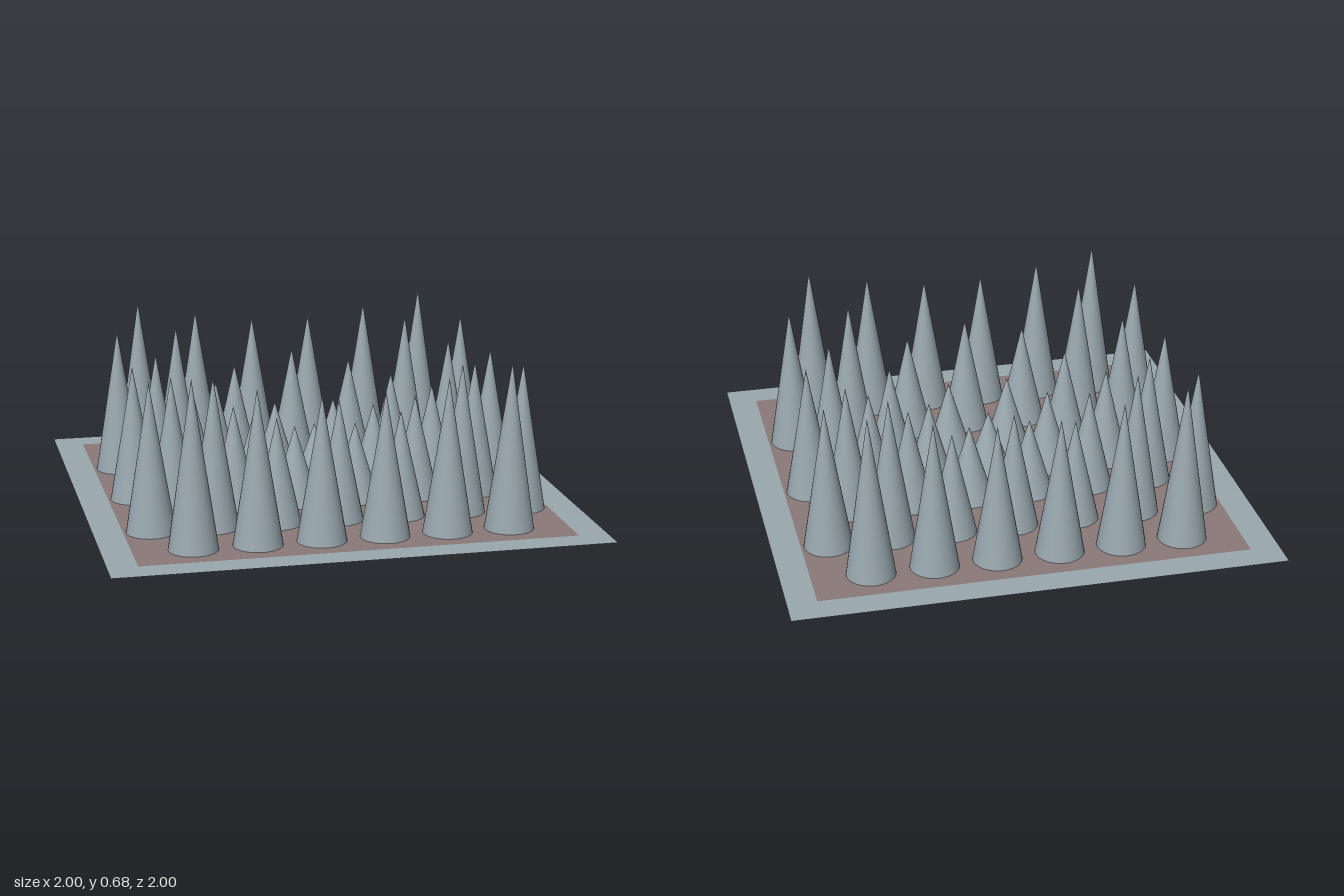
import * as THREE from 'three';

const steel = new THREE.MeshStandardMaterial({ color: 0x9aa8ae, side: THREE.DoubleSide });
const soil = new THREE.MeshStandardMaterial({ color: 0x8b7b79, side: THREE.DoubleSide });

const FRAME = 1, PIT = 0.88, RADIUS = 0.1, STEP = 0.256;

// Spike heights from the middle of each row outwards; rows mirror in x and z.
const ROWS = [
  { z: 0, odd: true, heights: [0.28, 0.35, 0.42, 0.565] },
  { z: 0.205, odd: false, heights: [0.33, 0.43, 0.565] },
  { z: 0.462, odd: true, heights: [0.5, 0.44, 0.62, 0.613] },
  { z: 0.718, odd: false, heights: [0.59, 0.63, 0.683] },
];

function square(Type, half) {
  const s = new Type();
  s.moveTo(-half, -half);
  s.lineTo(half, -half);
  s.lineTo(half, half);
  s.lineTo(-half, half);
  s.closePath();
  return s;
}

function flat(shape, material, name) {
  const mesh = new THREE.Mesh(new THREE.ShapeGeometry(shape).rotateX(-Math.PI / 2), material);
  mesh.name = name;
  return mesh;
}

function spike(x, z, height) {
  const geometry = new THREE.ConeGeometry(RADIUS, height, 32, 1, true).translate(0, height / 2, 0);
  const mesh = new THREE.Mesh(geometry, steel);
  mesh.position.set(x, 0, z);
  mesh.name = 'spike';
  return mesh;
}

export function createModel() {
  const model = new THREE.Group();
  model.name = 'spikeTrap';

  // Flat border around the pit floor
  const border = square(THREE.Shape, FRAME);
  border.holes.push(square(THREE.Path, PIT));
  model.add(flat(border, steel, 'border'));
  model.add(flat(square(THREE.Shape, PIT), soil, 'floor'));

  // Staggered rows of spikes, taller towards the edges
  const spikes = new THREE.Group();
  spikes.name = 'spikes';
  for (const { z, odd, heights } of ROWS) {
    for (const rowZ of z === 0 ? [0] : [-z, z]) {
      heights.forEach((height, i) => {
        const x = (odd ? i : i + 0.5) * STEP;
        for (const spikeX of x === 0 ? [0] : [-x, x]) spikes.add(spike(spikeX, rowZ, height));
      });
    }
  }
  model.add(spikes);
  return model;
}
